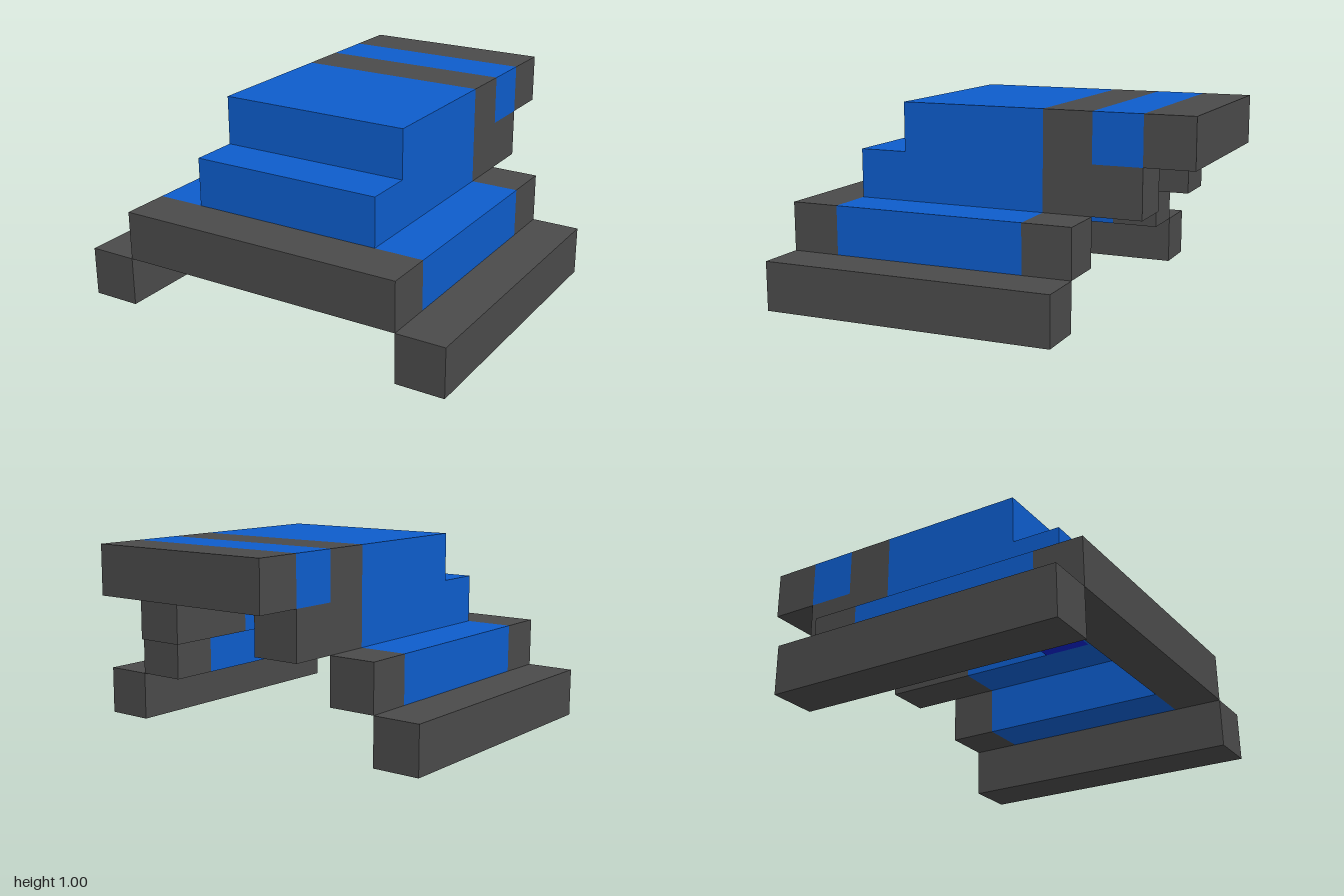
import * as THREE from 'three';

export function createModel() {
  const model = new THREE.Group();
  const mat = (name, color) => {
    const m = new THREE.MeshStandardMaterial({ color });
    m.name = name;
    return m;
  };
  const gray = mat('dark gray', 0x4a4a4a);
  const blue = mat('blue', 0x0d5ccb);
  const deepBlue = mat('deep blue', 0x0c20cb);

  // Box given by its extents on each axis
  const block = (name, material, [x0, x1], [y0, y1], [z0, z1]) => {
    const mesh = new THREE.Mesh(new THREE.BoxGeometry(x1 - x0, y1 - y0, z1 - z0), material);
    mesh.position.set((x0 + x1) / 2, (y0 + y1) / 2, (z0 + z1) / 2);
    mesh.name = name;
    model.add(mesh);
  };
  // Mirrored pair of boxes
  const pair = (name, material, [x0, x1], y, z) => {
    block(name + 'Left', material, [x0, x1], y, z);
    block(name + 'Right', material, [-x1, -x0], y, z);
  };

  const foot = [0, 0.25], lower = [0.25, 0.5], upper = [0.5, 0.75], top = [0.75, 1];

  // Ground rails
  pair('groundRail', gray, [0.75, 1], foot, [-0.5, 1]);

  // Lower frame, open at the back
  pair('lowerFrameRear', gray, [0.5, 0.75], lower, [-0.5, -0.25]);
  pair('lowerFrameSide', blue, [0.5, 0.75], lower, [-0.25, 0.75]);
  block('lowerFrameFront', gray, [-0.75, 0.75], lower, [0.75, 1]);

  // Upper walls, with the front step and the block behind it
  pair('upperWallRear', gray, [0.25, 0.5], upper, [-0.75, -0.25]);
  pair('upperWallSide', blue, [0.25, 0.5], upper, [-0.25, 0.5]);
  block('upperWallFront', blue, [-0.5, 0.5], upper, [0.5, 0.75]);
  block('innerBlock', deepBlue, [-0.25, 0.25], upper, [0.25, 0.5]);

  // Striped roof, from back to front
  [[gray, -1, -0.75], [blue, -0.75, -0.5], [gray, -0.5, -0.25], [blue, -0.25, 0.5]]
    .forEach(([material, z0, z1], i) => block('roofBand' + (i + 1), material, [-0.5, 0.5], top, [z0, z1]));

  return model;
}
